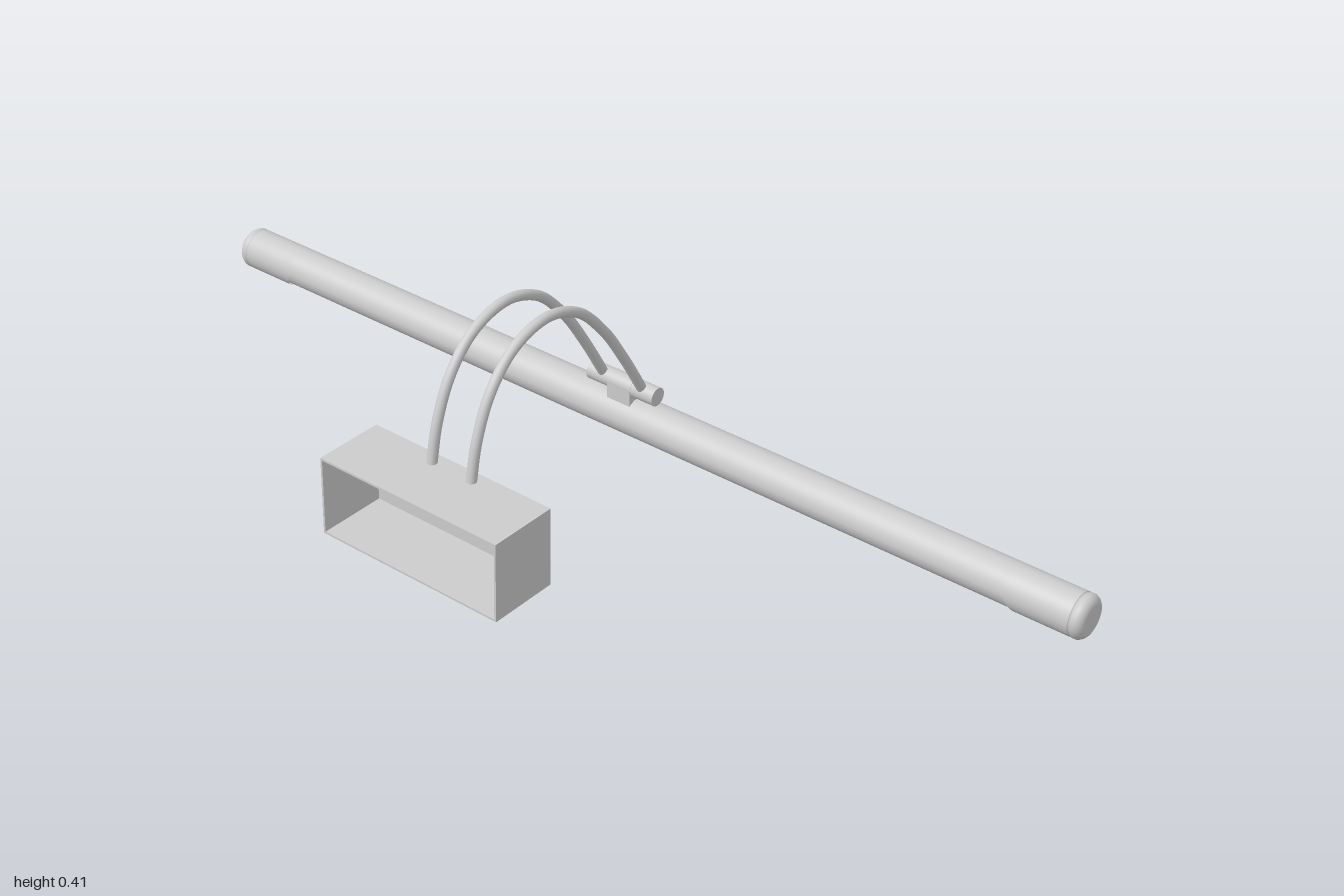
import * as THREE from 'three';

export function createModel() {
  const model = new THREE.Group();
  const mat = new THREE.MeshStandardMaterial({ color: 0xcccccc });
  const open = new THREE.MeshStandardMaterial({ color: 0xcccccc, side: THREE.DoubleSide });

  const add = (name, geometry, x, y, z, material = mat, parent = model) => {
    const mesh = new THREE.Mesh(geometry, material);
    mesh.name = name;
    mesh.position.set(x, y, z);
    parent.add(mesh);
    return mesh;
  };
  // Cylinder lying along z; angle 0 is the underside, a quarter turn is +x
  const rod = (r, length, { openEnded = false, start = 0, sweep = Math.PI * 2 } = {}) =>
    new THREE.CylinderGeometry(r, r, length, 48, 1, openEnded, start, sweep).rotateX(Math.PI / 2);

  // Wall box: thin shell, open toward the wall at -x
  const wallBox = new THREE.Group();
  wallBox.name = 'wallBox';
  model.add(wallBox);
  const left = -0.325, right = -0.182, height = 0.16, depth = 0.408, wall = 0.004;
  const midX = (left + right) / 2, width = right - left;
  add('boxFront', new THREE.BoxGeometry(wall, height, depth), right - wall / 2, height / 2, 0, mat, wallBox);
  for (const s of [-1, 1]) {
    add(s > 0 ? 'boxTop' : 'boxBottom', new THREE.BoxGeometry(width, wall, depth),
      midX, height / 2 + s * (height - wall) / 2, 0, mat, wallBox);
    add('boxEnd', new THREE.BoxGeometry(width, height, wall),
      midX, height / 2, s * (depth - wall) / 2, mat, wallBox);
  }

  // Pair of curved arms
  const path = new THREE.CatmullRomCurve3([
    [-0.209, 0.152], [-0.192, 0.235], [-0.155, 0.317], [-0.095, 0.376], [-0.01, 0.399],
    [0.075, 0.373], [0.15, 0.302], [0.21, 0.218], [0.272, 0.118],
  ].map(([x, y]) => new THREE.Vector3(x, y, 0)));
  for (const z of [-0.046, 0.046]) {
    add('arm', new THREE.TubeGeometry(path, 64, 0.01, 16), 0, 0, z);
  }

  // Hinge: crossbar with a neck down to the lamp
  add('hingeBar', rod(0.0185, 0.156), 0.275, 0.115, 0);
  add('hingeNeck', new THREE.BoxGeometry(0.038, 0.042, 0.054), 0.275, 0.094, 0);
  add('hingeKnuckle', rod(0.019, 0.054), 0.275, 0.115, 0);

  // Lamp tube with a diffuser filling its lower half
  const lamp = new THREE.Group();
  lamp.name = 'lamp';
  lamp.position.set(0.281, 0.048, 0);
  model.add(lamp);
  const R = 0.042, slot = 0.85, seam = 0.975;
  add('lampHousing', rod(R, slot * 2, { openEnded: true, start: Math.PI / 2, sweep: Math.PI }), 0, 0, 0, open, lamp);
  add('diffuserLedge', new THREE.BoxGeometry(R * 2 - 0.001, 0.002, slot * 2), 0, 0.001, 0, mat, lamp);
  add('diffuser', rod(R - 0.003, slot * 2 + 0.06, { start: -Math.PI / 2, sweep: Math.PI }), 0, 0, 0, open, lamp);

  for (const s of [-1, 1]) {
    // Full sleeve beyond the slot; its lower rim slants outward
    const sleeve = rod(R, seam - slot, { openEnded: true });
    const p = sleeve.attributes.position;
    for (let i = 0; i < p.count; i++) {
      if (p.getZ(i) * s < 0 && p.getY(i) < 0) p.setZ(i, p.getZ(i) - s * 0.02 * p.getY(i) / R);
    }
    add('lampSleeve', sleeve, 0, 0, s * (slot + seam) / 2, open, lamp);

    // End cap with a small groove and a rounded rim
    const profile = [[R, 0], [R - 0.002, 0.001], [R - 0.002, 0.004], [R, 0.005], [R, 0.012],
      [R - 0.003, 0.018], [R - 0.008, 0.0225], [0.027, 0.025], [0, 0.025]];
    const cap = add('endCap', new THREE.LatheGeometry(profile.map(([x, y]) => new THREE.Vector2(x, y)), 48),
      0, 0, s * seam, open, lamp);
    cap.rotation.x = s * Math.PI / 2;
  }

  return model;
}
